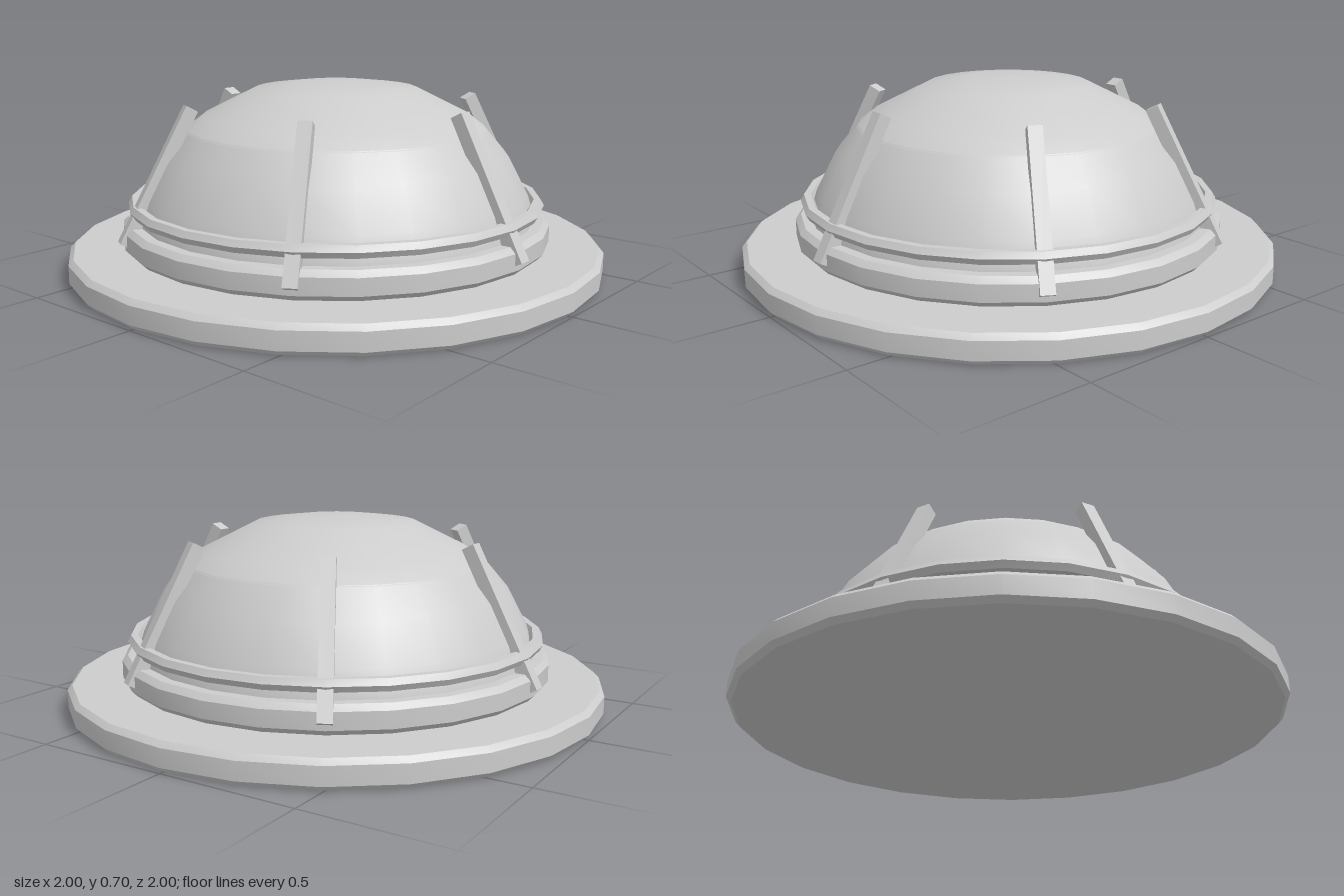
import * as THREE from 'three';
import { toCreasedNormals } from 'three/addons/utils/BufferGeometryUtils.js';

const SIDES = 24;

export function createModel() {
  const group = new THREE.Group();
  const grey = new THREE.MeshStandardMaterial({ color: 0xcccccc });
  grey.name = 'light grey';

  const add = (name, geometry, parent = group) => {
    const mesh = new THREE.Mesh(geometry, grey);
    mesh.name = name;
    parent.add(mesh);
    return mesh;
  };
  const lathe = (points) =>
    new THREE.LatheGeometry(points.map(([r, y]) => new THREE.Vector2(r, y)), SIDES);

  // Closed disc with chamfered rims
  const disc = (radius, y0, y1, bevel) => toCreasedNormals(lathe([
    [0, y0], [radius - bevel, y0], [radius, y0 + bevel],
    [radius, y1 - bevel], [radius - bevel, y1], [0, y1],
  ]), 0.5);

  add('baseFlange', disc(1, 0, 0.1, 0.018));
  add('collar', disc(0.8, 0.1, 0.2, 0.02));

  // Dome: steep lower band and shallow cap with a seam between them
  add('domeBand', lathe([[0.745, 0.19], [0.74, 0.22], [0.718, 0.29], [0.645, 0.43], [0.56, 0.53]]));
  add('domeCap', lathe([[0.565, 0.525], [0.5, 0.575], [0.3, 0.675], [0.15, 0.694], [0, 0.7]]));

  // Guard ring around the foot of the dome
  const ring = toCreasedNormals(new THREE.TorusGeometry(0.753, 0.025, 6, SIDES), 0.5);
  ring.rotateX(Math.PI / 2);
  add('guardRing', ring).position.y = 0.253;

  // Six guard bars leaning in towards the dome
  const foot = new THREE.Vector2(0.8, 0.14);
  const tip = new THREE.Vector2(0.55, 0.62);
  const bar = new THREE.BoxGeometry(0.047, foot.distanceTo(tip), 0.05);
  for (let i = 0; i < 6; i++) {
    const arm = new THREE.Group();
    arm.name = `guardBarArm${i + 1}`;
    arm.rotation.y = (i * Math.PI) / 3;
    group.add(arm);
    const mesh = add('guardBar', bar, arm);
    mesh.position.set((foot.x + tip.x) / 2, (foot.y + tip.y) / 2, 0);
    mesh.rotation.z = Math.atan2(foot.x - tip.x, tip.y - foot.y);
  }

  return group;
}
